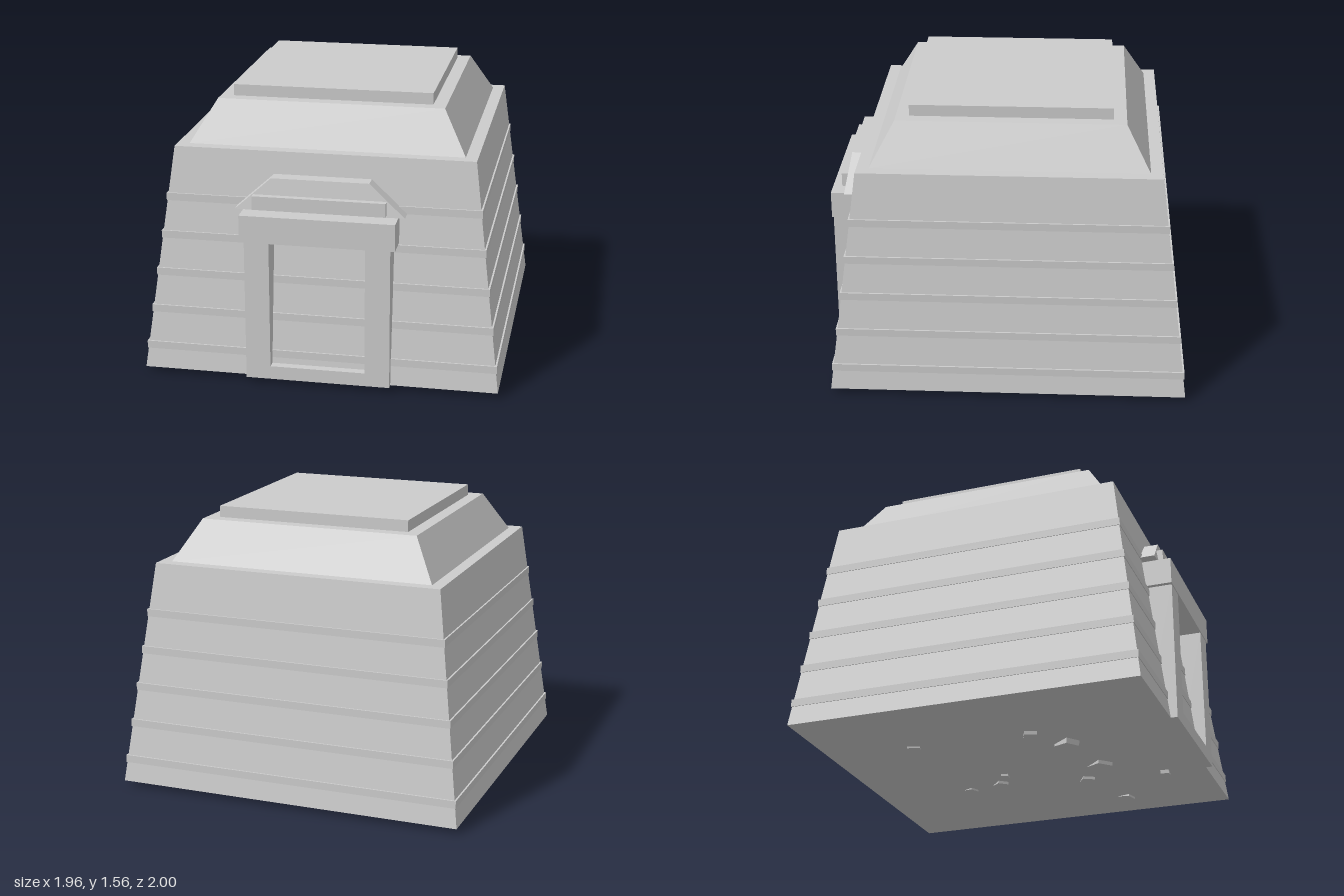
import * as THREE from 'three';

const CZ = -0.02; // centre of the main block in z

export function createModel() {
  const model = new THREE.Group();
  const stone = new THREE.MeshStandardMaterial({ color: 0xcccccc });
  stone.name = 'pale stone';

  const add = (name, geometry) => {
    const mesh = new THREE.Mesh(geometry, stone);
    mesh.name = name;
    model.add(mesh);
    return mesh;
  };

  // Box given by its limits
  const box = (name, x0, x1, y0, y1, z0, z1) => {
    const g = new THREE.BoxGeometry(x1 - x0, y1 - y0, z1 - z0);
    g.translate((x0 + x1) / 2, (y0 + y1) / 2, (z0 + z1) / 2);
    return add(name, g);
  };

  // Tapered block: bottom and top are [half width, back z, front z]
  const taper = (name, y0, y1, bottom, top) => {
    const g = new THREE.BoxGeometry(2, 2, 2);
    const p = g.attributes.position;
    for (let i = 0; i < p.count; i++) {
      const [half, back, front] = p.getY(i) < 0 ? bottom : top;
      p.setXYZ(i, p.getX(i) * half, p.getY(i) < 0 ? y0 : y1, p.getZ(i) < 0 ? back : front);
    }
    g.computeVertexNormals();
    return add(name, g);
  };
  const square = (half) => [half, CZ - half, CZ + half];

  // Main block, roof and top slab
  taper('body', 0.03, 1.27, square(0.978), square(0.818));
  taper('roof', 1.27, 1.495, square(0.752), square(0.622));
  taper('roofSlab', 1.495, 1.558, square(0.55), square(0.55));

  // Horizontal bands, each narrower than the one below
  for (let i = 0; i < 5; i++) {
    const y = 0.16 + i * 0.2085;
    const half = 0.968 - i * 0.027;
    taper('band' + (i + 1), y - 0.021, y + 0.021, square(half), square(half));
  }

  // Doorway: jambs, sill and lintel
  box('leftJamb', 0.26, 0.395, 0.03, 0.82, 0.83, 0.995);
  box('rightJamb', -0.395, -0.26, 0.03, 0.82, 0.83, 0.995);
  box('sill', -0.26, 0.26, 0.03, 0.105, 0.9, 0.995);
  box('lintel', -0.42, 0.42, 0.815, 0.965, 0.8, 1.0);

  // Canopy leaning against the wall, with a plaque on it
  taper('canopy', 0.975, 1.148, [0.46, 0.82, 0.92], [0.265, 0.8, 0.893]);
  box('plaque', -0.36, 0.36, 0.982, 1.058, 0.85, 0.943);

  // Rubble flakes poking out under the base: x, z, size, turn, lowest y
  const flakes = [
    [-0.42, -0.5, 0.1, 0.3, 0.02], [0.31, -0.45, 0.08, 1.1, 0.02],
    [0.26, -0.24, 0.09, 0.7, 0.015], [0.14, -0.17, 0.06, 0.2, 0.018],
    [-0.24, 0.33, 0.12, 0.9, 0], [-0.42, 0.18, 0.1, 0.4, 0.01],
    [0.36, 0.26, 0.1, 0.5, 0.015], [0.15, 0.4, 0.13, 0.8, 0.01],
    [0.73, 0.38, 0.1, 1.3, 0.018], [0.39, 0.72, 0.07, 0.1, 0.01],
  ];
  for (const [x, z, size, turn, low] of flakes) {
    const g = new THREE.BoxGeometry(size, 0.03, size * 0.7);
    g.rotateZ(0.15).rotateY(turn);
    g.computeBoundingBox();
    g.translate(x, low - g.boundingBox.min.y, z);
    add('rubbleFlake', g);
  }
  return model;
}
